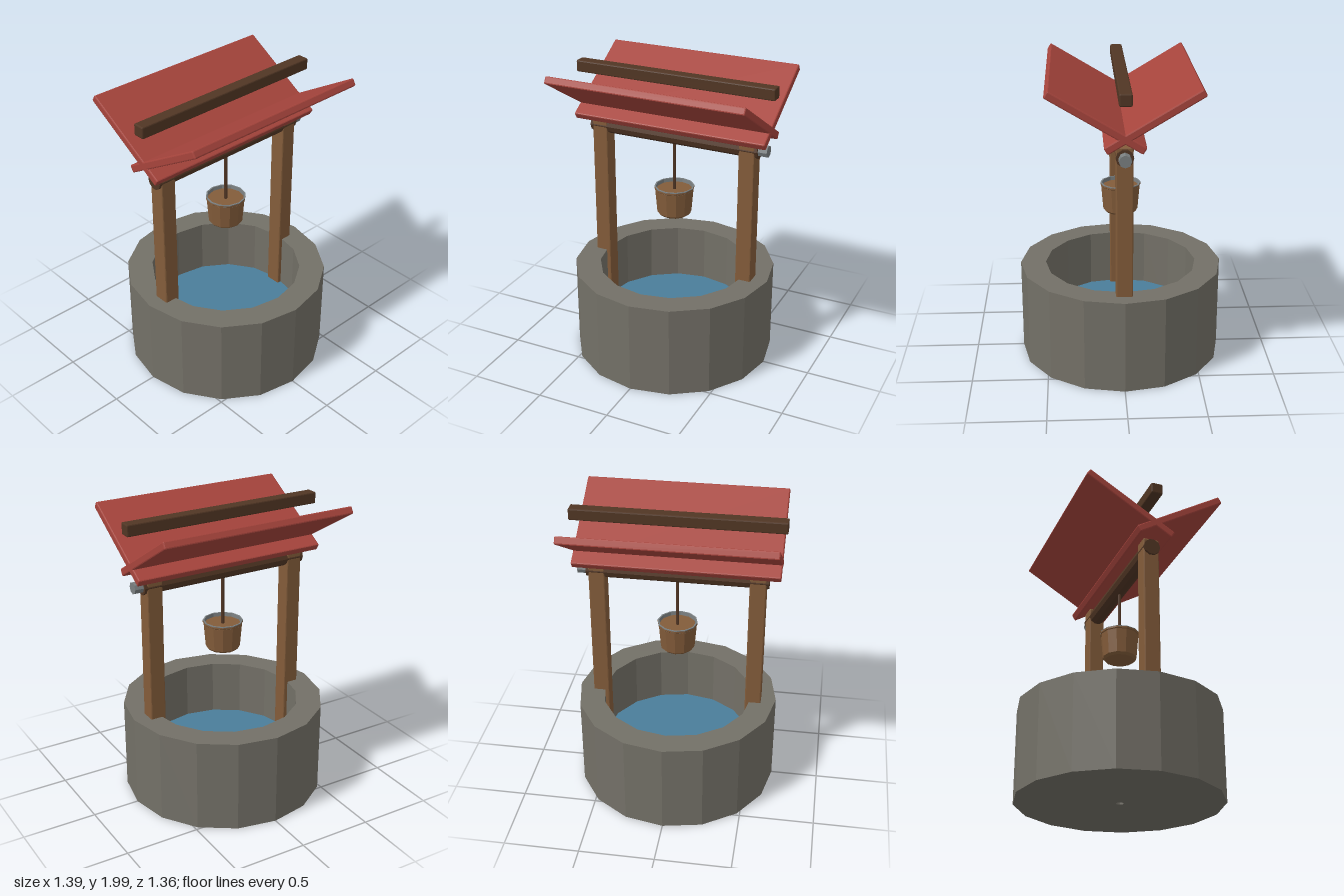
import * as THREE from 'three';
import { RoundedBoxGeometry } from 'three/addons/geometries/RoundedBoxGeometry.js';

const paint = (name, color, side = THREE.FrontSide) => {
  const m = new THREE.MeshStandardMaterial({ color, side, flatShading: true });
  m.name = name;
  return m;
};

export function createModel() {
  const well = new THREE.Group();
  well.name = 'well';

  const stone = paint('stone', 0x737067);
  const wood = paint('wood', 0x835c3a);
  const darkWood = paint('dark wood', 0x513624);
  const red = paint('roof red', 0xa6443c);
  const water = paint('water', 0x4a7d9a);
  const metal = paint('metal', 0x7a7f80, THREE.DoubleSide);

  const add = (name, geometry, material, x = 0, y = 0, z = 0) => {
    const mesh = new THREE.Mesh(geometry, material);
    mesh.name = name;
    mesh.position.set(x, y, z);
    well.add(mesh);
    return mesh;
  };
  const beam = (w, h, d) => new RoundedBoxGeometry(w, h, d, 1, 0.008);
  const lathe = (points, sides) =>
    new THREE.LatheGeometry(points.map(([r, y]) => new THREE.Vector2(r, y)), sides);

  // Stone ring with a floor and a small drain hole
  add('stoneWall', lathe([
    [0.025, 0], [0.68, 0], [0.68, 0.63], [0.51, 0.63], [0.51, 0.03], [0.025, 0.03], [0.025, 0],
  ], 16), stone);
  const surface = add('waterSurface', new THREE.CircleGeometry(0.51, 16), water, 0, 0.25, 0);
  surface.rotation.x = -Math.PI / 2;

  // Posts and crossed roof slabs
  for (const side of [1, -1]) {
    add(side > 0 ? 'leftPost' : 'rightPost', beam(0.108, 1.42, 0.108), wood, side * 0.525, 0.91, 0);
    const slab = add(side > 0 ? 'frontRoof' : 'backRoof', beam(1.345, 0.05, 0.685), red,
      0, 1.8, side * 0.175);
    slab.rotation.x = -side * THREE.MathUtils.degToRad(31);
  }
  add('ridgeBeam', beam(1.39, 0.078, 0.08), darkWood, 0, 1.942, 0);

  // Winding axle and crank hub
  const axle = add('axle', new THREE.CylinderGeometry(0.056, 0.056, 1.19, 10), darkWood, 0, 1.555, 0);
  const hub = add('crankHub', new THREE.CylinderGeometry(0.04, 0.04, 0.07, 8), metal, 0.62, 1.555, 0);
  axle.rotation.z = hub.rotation.z = Math.PI / 2;

  // Rope and bucket
  add('rope', new THREE.CylinderGeometry(0.011, 0.011, 0.38, 6), darkWood, 0, 1.36, 0);
  add('bucket', lathe([
    [0, 1], [0.1, 1], [0.115, 1.015], [0.129, 1.18], [0.129, 1.175], [0, 1.175],
  ], 12), wood);
  add('bucketLip', lathe([[0.128, 1.18], [0.134, 1.185], [0.134, 1.195]], 12), wood);
  add('bucketRim', lathe([[0.134, 1.195], [0.134, 1.2], [0.124, 1.2], [0.122, 1.175]], 12), metal);

  return well;
}
